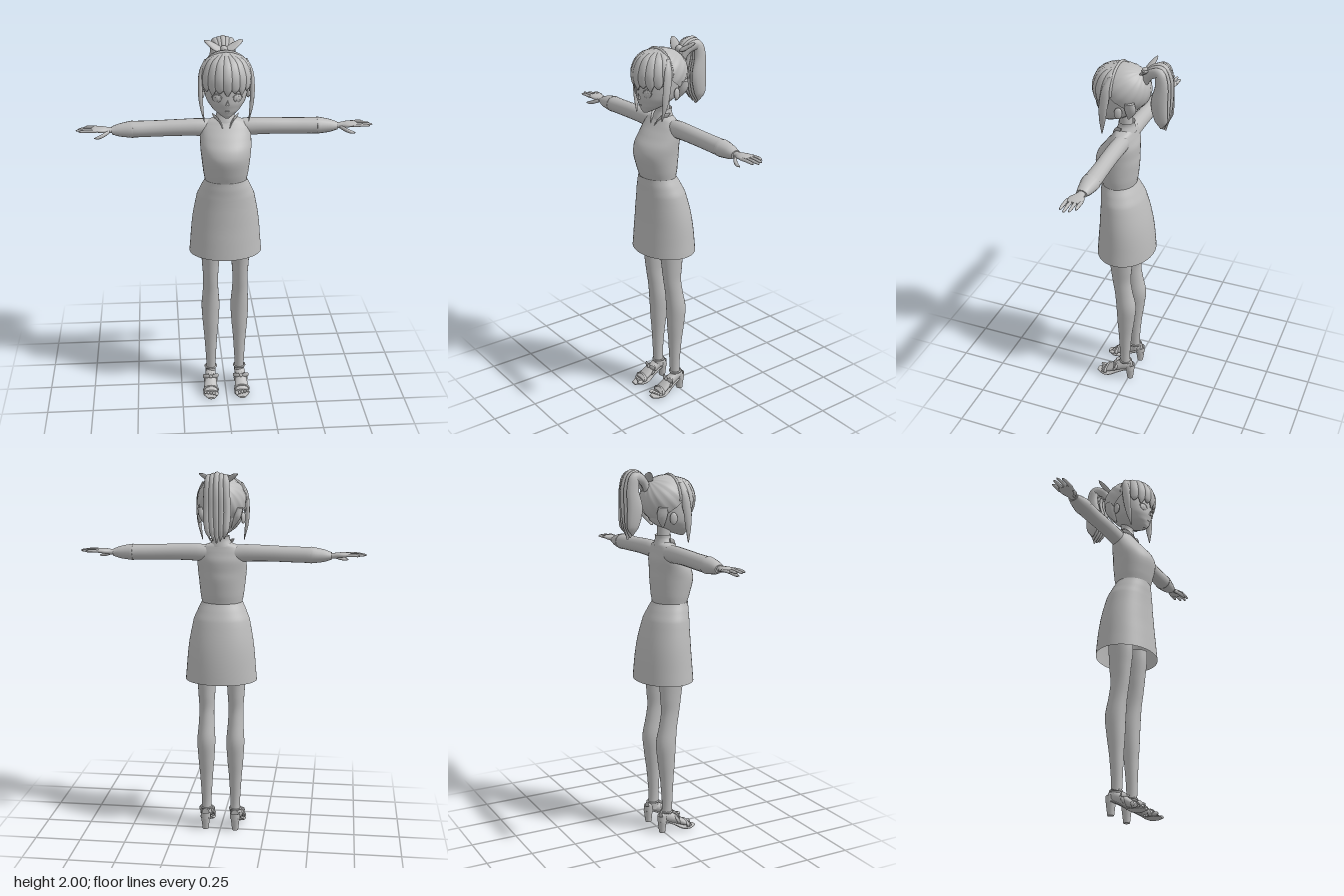
import * as THREE from 'three';

const V = (x, y, z) => new THREE.Vector3(x, y, z);
const X = V(1, 0, 0), Y = V(0, 1, 0), Z = V(0, 0, 1);
const grey = new THREE.MeshStandardMaterial({ color: 0xbcbcbc, side: THREE.DoubleSide });
grey.name = 'plain grey';

// Sweeps a smooth elliptical section along points; rows are [x, y, z, radiusU, radiusV].
// Without a fixed v axis the section follows the path.
function sweep(rows, u, v = null, { sides = 16, steps = 4, caps = true } = {}) {
  const path = new THREE.CatmullRomCurve3(rows.map(r => V(r[0], r[1], r[2])));
  const size = new THREE.CatmullRomCurve3(rows.map(r => V(r[3], r[4], 0)), false, 'catmullrom', 0.4);
  const n = (rows.length - 1) * steps, pos = [], idx = [];
  const T0 = path.getTangent(0.5);
  const v0 = v || T0.clone().cross(u);
  const flip = T0.dot(u.clone().cross(v0)) < 0;
  const tri = (a, b, c) => flip ? idx.push(a, c, b) : idx.push(a, b, c);
  const ring = t => {
    const p = path.getPoint(t), s = size.getPoint(t);
    const w = v || path.getTangent(t).cross(u).normalize();
    for (let j = 0; j < sides; j++) {
      const a = j / sides * Math.PI * 2;
      pos.push(...p.clone().addScaledVector(u, Math.cos(a) * Math.max(s.x, 0.0005))
        .addScaledVector(w, Math.sin(a) * Math.max(s.y, 0.0005)).toArray());
    }
    return p;
  };
  for (let i = 0; i <= n; i++) ring(i / n);
  for (let i = 0; i < n; i++) for (let j = 0; j < sides; j++) {
    const a = i * sides + j, b = i * sides + (j + 1) % sides;
    tri(a, b, b + sides); tri(a, b + sides, a + sides);
  }
  if (caps) for (const t of [0, 1]) {
    const base = pos.length / 3, p = ring(t), c = pos.length / 3;
    pos.push(p.x, p.y, p.z);
    for (let j = 0; j < sides; j++) {
      const a = base + j, b = base + (j + 1) % sides;
      t ? tri(c, a, b) : tri(c, b, a);
    }
  }
  const g = new THREE.BufferGeometry();
  g.setAttribute('position', new THREE.Float32BufferAttribute(pos, 3));
  g.setIndex(idx);
  g.computeVertexNormals();
  return g;
}

// Upright body section rows: [y, z, halfWidth, halfDepth]
const upright = (rows, opt, x = 0) =>
  sweep(rows.map(([y, z, a, b]) => [x, y, z, a, b]), X, Z, { sides: 32, ...opt });

export function createModel() {
  const model = new THREE.Group();
  const add = (name, geo, p = [0, 0, 0], r = [0, 0, 0], s = [1, 1, 1]) => {
    const m = new THREE.Mesh(geo, grey);
    m.name = name;
    m.position.set(...p); m.rotation.set(...r); m.scale.set(...s);
    model.add(m);
    return m;
  };

  // Clothes and neck
  add('blouse', upright([[1.285, .078, .108, .088], [1.34, .083, .118, .102], [1.42, .089, .127, .115],
    [1.47, .083, .132, .108], [1.52, .064, .132, .09], [1.57, .05, .125, .064], [1.6, .043, .1, .05], [1.62, .04, .05, .04]]));
  add('skirt', upright([[1.295, .082, .111, .092], [1.25, .07, .132, .105], [1.2, .058, .153, .117],
    [1.06, .043, .178, .138], [.95, .04, .188, .15], [.87, .04, .195, .156]], { caps: false, sides: 48 }));
  add('waistband', upright([[1.298, .08, .108, .088], [1.285, .08, .114, .094]]));
  add('neck', upright([[1.58, .04, .04, .035], [1.64, .042, .034, .034], [1.72, .05, .036, .04]]));
  add('collar', upright([[1.6, .042, .064, .053], [1.635, .04, .046, .042], [1.655, .038, .044, .042]], { caps: false }));

  // Face
  add('face', upright([[1.647, .15, .012, .014], [1.665, .128, .04, .046], [1.69, .105, .072, .077],
    [1.73, .08, .1, .11], [1.78, .072, .112, .117], [1.85, .065, .115, .122], [1.92, .06, .08, .09]]));
  add('nose', new THREE.ConeGeometry(.009, .03, 8), [0, 1.738, .192], [.3, 0, 0]);
  add('mouth', new THREE.SphereGeometry(.013, 12, 6), [0, 1.69, .18], [0, 0, 0], [1, .2, .3]);

  // Hair cap with combed grooves, open toward the face
  const cap = new THREE.SphereGeometry(1, 96, 24, 0, Math.PI * 2, 0, Math.PI * .56);
  const cp = cap.attributes.position;
  for (let i = 0; i < cp.count; i++) {
    const v = V().fromBufferAttribute(cp, i);
    const groove = 1 - .025 * Math.abs(Math.sin(Math.atan2(v.x, v.z) * 9)) * Math.hypot(v.x, v.z);
    v.multiplyScalar(groove).applyAxisAngle(X, -.72).multiply(V(.13, .127, .145));
    cp.setXYZ(i, v.x, v.y, v.z);
  }
  cap.computeVertexNormals();
  add('hairCap', cap, [0, 1.84, .055]);
  add('hairBand', new THREE.TorusGeometry(.127, .007, 8, 32, Math.PI), [0, 1.84, .075]);

  // Fringe locks fanning from the crown
  for (let i = -4; i <= 4; i++) {
    const a = i * .31, s = Math.sin(a), c = Math.cos(a), low = i % 2 ? 1.785 : 1.772;
    add('fringeLock', sweep([[.03 * s, 1.955, .08, .01, .008], [.095 * s, 1.925, .06 + .108 * c, .023, .012],
      [.125 * s, 1.86, .06 + .142 * c, .027, .013], [.127 * s, 1.805, .06 + .142 * c, .022, .01],
      [.125 * s, low, .06 + .136 * c, .006, .003]], V(c, 0, -s), null, { sides: 10 }));
  }

  // Ponytail: overlapping strands that arch up, then fall
  for (let i = -2; i <= 2; i++) {
    const x = i * .021, d = Math.abs(i) * .006;
    add('ponytailStrand', sweep([[x * .4, 1.88, -.06, .012, .014], [x * .7, 1.955 - d, -.095, .018, .024],
      [x, 1.972 - d, -.145, .02, .028], [x * 1.1, 1.91 - d, -.172 + d, .021, .034],
      [x * 1.2, 1.8, -.162 + d, .021, .044], [x * 1.1, 1.71, -.16, .017, .034],
      [x * .9, 1.64 + d * 2, -.17 + d, .003, .004]], X, null, { sides: 12, steps: 6 }));
  }
  add('hairTie', new THREE.TorusGeometry(.026, .011, 8, 20), [0, 1.935, -.08], [-1.0, 0, 0]);
  add('bowKnot', new THREE.SphereGeometry(.02, 12, 8), [0, 1.945, -.06]);

  // Mirrored parts; s = 1 is the model's left
  for (const s of [1, -1]) {
    const side = s > 0 ? 'left' : 'right';
    const put = (name, ...rest) => add(side + name, ...rest);
    const mx = rows => rows.map(([x, ...r]) => [x * s, ...r]);
    const along = (name, rows, u = Z, v = Y, opt) => put(name, sweep(mx(rows), u, v, opt));

    // Head details
    put('Eye', new THREE.SphereGeometry(.024, 16, 10), [s * .052, 1.756, .176], [0, s * .4, 0], [1, .85, .22]);
    put('Iris', new THREE.SphereGeometry(.013, 14, 8), [s * .051, 1.756, .181], [0, s * .35, 0], [.8, 1, .2]);
    put('EyeLash', new THREE.TorusGeometry(.025, .003, 6, 16, Math.PI), [s * .052, 1.757, .177], [0, s * .4, 0], [1, .8, 1]);
    put('Ear', new THREE.SphereGeometry(.026, 14, 10), [s * .116, 1.75, .04], [0, s * .3, 0], [.4, 1.2, .8]);
    along('SideLock', [[.1, 1.93, .085, .01, .008], [.124, 1.87, .1, .022, .012], [.131, 1.79, .112, .024, .012],
      [.127, 1.71, .12, .018, .01], [.112, 1.62, .13, .003, .002]], Z, null, { sides: 10 });
    along('NapeLock', [[.1, 1.81, -.01, .03, .02], [.09, 1.76, -.015, .03, .018], [.06, 1.7, .005, .006, .005]],
      Z, null, { sides: 10 });
    along('BowLoop', [[.0, 1.94, -.062, .008, .006], [.045, 1.955, -.068, .028, .009], [.08, 1.975, -.078, .02, .008],
      [.1, 1.985, -.085, .004, .003]], V(0, .55, -.83), null, { sides: 10 });
    along('CollarPoint', [[.058, 1.625, .05, .02, .005], [.035, 1.612, .088, .022, .005], [.014, 1.565, .113, .003, .002]],
      V(s * .5, .75, -.3).normalize(), null, { sides: 8 });

    // Sleeve, cuff and hand
    along('Sleeve', [[.06, 1.56, .038, .04, .045], [.13, 1.565, .038, .042, .046], [.25, 1.565, .038, .042, .043],
      [.36, 1.562, .036, .042, .042], [.48, 1.56, .035, .046, .042]]);
    along('Cuff', [[.475, 1.56, .035, .048, .044], [.49, 1.56, .035, .047, .042], [.54, 1.558, .036, .038, .034],
      [.583, 1.557, .037, .028, .02]]);
    along('Palm', [[.57, 1.557, .037, .018, .015], [.6, 1.559, .037, .022, .015], [.635, 1.563, .037, .038, .014],
      [.67, 1.565, .037, .041, .011], [.685, 1.565, .037, .035, .007]]);
    [[.002, .73], [.025, .755], [.049, .766], [.072, .75]].forEach(([z, end]) =>
      along('Finger', [[.66, 1.565, z, .009, .008], [.71, 1.566, z, .0085, .008],
        [end - .01, 1.564, z, .007, .006], [end, 1.563, z, .002, .002]], Z, Y, { sides: 8 }));
    along('Thumb', [[.595, 1.555, .05, .01, .01], [.625, 1.543, .075, .011, .011], [.65, 1.535, .085, .009, .009],
      [.672, 1.532, .088, .003, .003]], Z, Y, { sides: 8 });

    // Leg
    put('Leg', upright([[.93, .046, .055, .07], [.87, .047, .052, .068], [.78, .044, .046, .06], [.7, .042, .041, .052],
      [.62, .03, .043, .051], [.52, .016, .05, .056], [.42, .018, .045, .049], [.3, .022, .035, .037],
      [.16, .024, .027, .029], [.08, .02, .027, .03]], { sides: 24 }, s * .081));

    // Foot and heeled sandal
    const fx = .088;
    along('Foot', [[.083, .095, -.015, .022, .024], [.084, .09, .02, .027, .032], [.086, .068, .07, .032, .028],
      [fx, .041, .12, .038, .02], [fx, .026, .15, .037, .012]], X, Y);
    for (let i = 0; i < 5; i++)
      put('Toe', new THREE.SphereGeometry(i ? .009 : .012, 10, 8),
        [s * (.058 + i * .0155), .023, .166 - i * .005], [0, 0, 0], [.85, .85, 1.6]);
    along('Sole', [[.084, .07, -.028, .02, .006], [.084, .066, .01, .027, .006], [.086, .04, .06, .031, .006],
      [fx, .013, .11, .04, .009], [fx, .009, .15, .042, .008], [fx, .01, .192, .018, .006]], X, Y);
    put('Heel', new THREE.CylinderGeometry(.026, .017, .072, 16), [s * .084, .036, -.008]);
    along('HeelCounter', [[.084, .066, -.008, .028, .026], [.083, .1, -.006, .028, .028]], X, Z, { caps: false });
    put('AnkleStrap', new THREE.TorusGeometry(.031, .005, 8, 24), [s * .082, .12, .02], [Math.PI / 2, 0, 0]);
    put('InstepStrap', new THREE.TorusGeometry(.034, .006, 8, 24), [s * .086, .066, .075], [-.5, 0, 0], [1, .9, 1.4]);
    put('ToeStrap', new THREE.TorusGeometry(.039, .006, 8, 24), [s * fx, .032, .135], [-.3, 0, 0], [1, .55, 1.6]);
    put('ShoeBowKnot', new THREE.SphereGeometry(.01, 10, 8), [s * .086, .088, .086]);
    for (const k of [1, -1])
      along('ShoeBowLoop', [[.086, .088, .084, .004, .004], [.086 + k * .02, .089, .083, .013, .006],
        [.086 + k * .04, .087, .076, .013, .005], [.086 + k * .044, .086, .074, .008, .003]], Y, Z, { sides: 8 });
  }
  return model;
}
